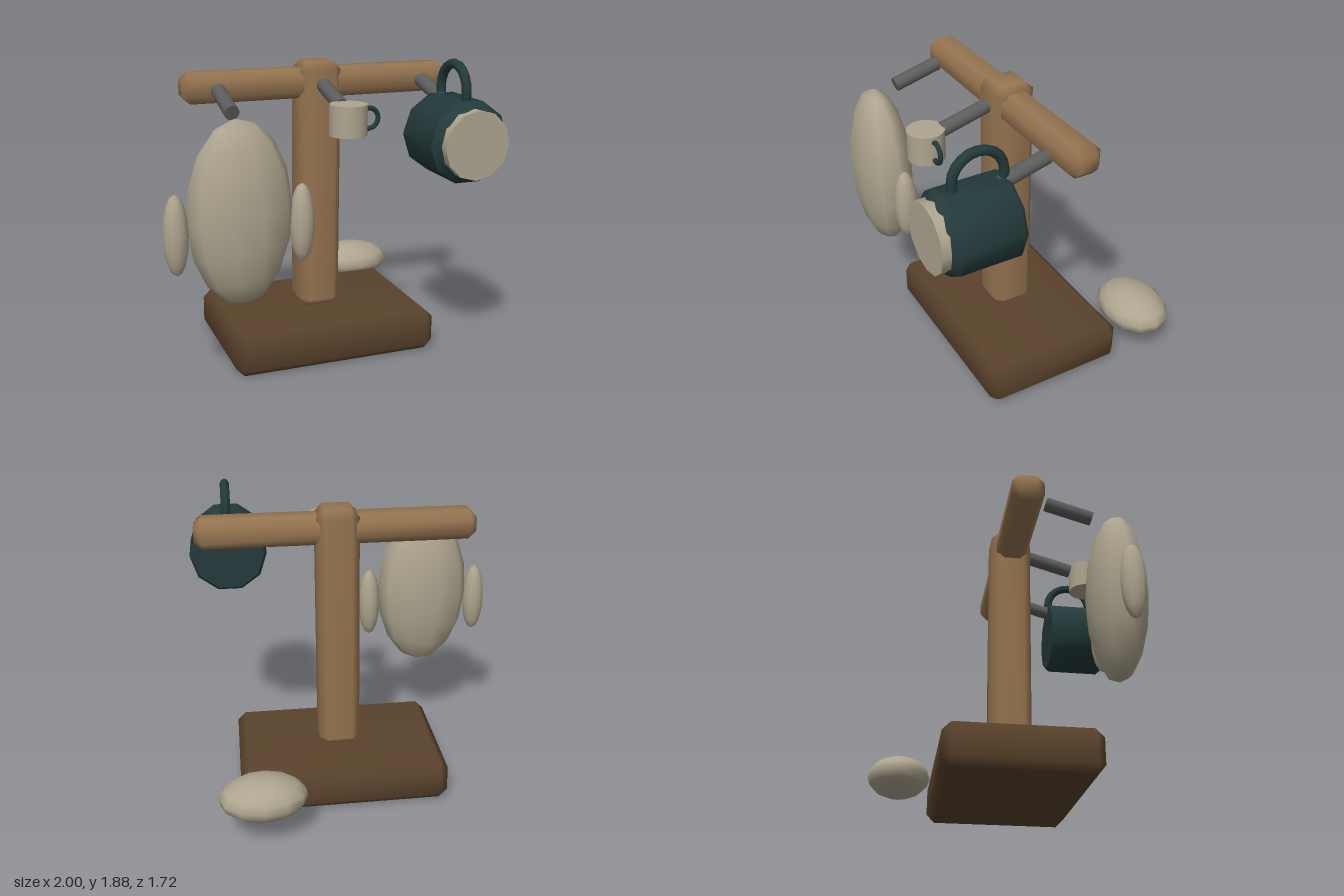
import * as THREE from 'three';
import { mergeVertices, toCreasedNormals } from 'three/addons/utils/BufferGeometryUtils.js';
import { ConvexGeometry } from 'three/addons/geometries/ConvexGeometry.js';

function material(name, color) {
  const m = new THREE.MeshStandardMaterial({ color });
  m.name = name;
  return m;
}

// Box with chamfered edges and softly blended normals
function chamferBox(w, h, d, c) {
  const pts = [];
  const half = [w / 2, h / 2, d / 2];
  for (const sx of [-1, 1]) for (const sy of [-1, 1]) for (const sz of [-1, 1]) {
    for (let outer = 0; outer < 3; outer++) {
      const p = [sx, sy, sz].map((s, i) => s * (half[i] - (i === outer ? 0 : c)));
      pts.push(new THREE.Vector3(...p));
    }
  }
  const geo = new ConvexGeometry(pts);
  geo.deleteAttribute('normal');
  const merged = mergeVertices(geo, 1e-4);
  merged.computeVertexNormals();
  return merged;
}

// Low-poly ellipsoid, slightly skewed so that it looks hand shaped
function pebble(rx, ry, rz, skew, ws = 10, hs = 8) {
  const geo = new THREE.SphereGeometry(1, ws, hs);
  geo.rotateZ(skew);
  geo.scale(rx, ry, rz);
  geo.computeVertexNormals();
  const smooth = geo.clone();
  smooth.deleteAttribute('normal');
  smooth.deleteAttribute('uv');
  const merged = mergeVertices(smooth, 1e-4);
  merged.computeVertexNormals();
  return merged;
}

export function createModel() {
  const model = new THREE.Group();
  model.name = 'mugStand';

  const darkWood = material('darkWood', 0x5a432c);
  const wood = material('wood', 0x957450);
  const metal = material('metal', 0x5b5d5b);
  const cream = material('cream', 0xaea58f);
  const teal = material('teal', 0x243a3b);

  const add = (name, geo, mat, x = 0, y = 0, z = 0, parent = model) => {
    const mesh = new THREE.Mesh(geo, mat);
    mesh.name = name;
    mesh.position.set(x, y, z);
    parent.add(mesh);
    return mesh;
  };

  // Wooden stand
  add('base', chamferBox(1.31, 0.265, 0.915, 0.052), darkWood, 0.095, 0.1325, -0.002);
  add('post', chamferBox(0.26, 1.575, 0.26, 0.05), wood, 0.095, 1.0525, 0);
  add('crossbar', chamferBox(1.7, 0.18, 0.2, 0.046), wood, 0.095, 1.71, 0);

  // Three pegs sloping down towards the front
  const from = new THREE.Vector3(0, 1.705, 0.13);
  const to = new THREE.Vector3(0, 1.625, 0.42);
  const along = to.clone().sub(from);
  const pegGeo = new THREE.CylinderGeometry(0.044, 0.044, along.length(), 14);
  for (const x of [-0.56, 0.095, 0.75]) {
    const mid = from.clone().lerp(to, 0.5);
    const peg = add('peg', pegGeo, metal, x, mid.y, mid.z);
    peg.quaternion.setFromUnitVectors(new THREE.Vector3(0, 1, 0), along.clone().normalize());
  }

  // Hanging oval body with two side lobes
  add('hangingBody', pebble(0.308, 0.54, 0.178, 0.08), cream, -0.56, 1.08, 0.552);
  for (const x of [-0.928, -0.193]) {
    add('sideLobe', pebble(0.073, 0.235, 0.076, 0, 12, 8), cream, x, 0.99, 0.55);
  }

  // Oval stone behind the base
  add('stone', pebble(0.268, 0.126, 0.204, 0.1, 12, 8), cream, 0.622, 0.27, -0.656);

  // Small upright cup with ring handle
  const cup = new THREE.Group();
  cup.name = 'smallCup';
  cup.position.set(0.095, 1.565, 0.525);
  model.add(cup);
  add('cupBody', new THREE.CylinderGeometry(0.11, 0.11, 0.18, 24), cream, 0, 0, 0, cup);
  add('cupHandle', new THREE.TorusGeometry(0.06, 0.015, 8, 18), teal, 0.125, 0, 0, cup);

  // Large ten-sided mug lying with its mouth to the front
  const mug = new THREE.Group();
  mug.name = 'largeMug';
  mug.position.set(0.752, 1.43, 0);
  model.add(mug);
  const profile = [[0, 0.38], [0.23, 0.38], [0.2475, 0.4], [0.2475, 0.755], [0.2, 0.808], [0, 0.808]]
    .map(([r, z]) => new THREE.Vector2(r, z));
  const shell = new THREE.LatheGeometry(profile, 10, Math.PI / 2);
  shell.rotateX(Math.PI / 2);
  add('mugShell', toCreasedNormals(shell, 0.7), teal, 0, 0, 0, mug);
  const mouth = new THREE.CylinderGeometry(0.203, 0.203, 0.13, 12);
  mouth.rotateX(Math.PI / 2);
  add('mugFilling', mouth, cream, 0, 0, 0.79, mug);
  const handle = new THREE.TorusGeometry(0.153, 0.029, 8, 20);
  handle.rotateY(Math.PI / 2);
  add('mugHandle', handle, teal, 0, 0.273, 0.545, mug);

  return model;
}
